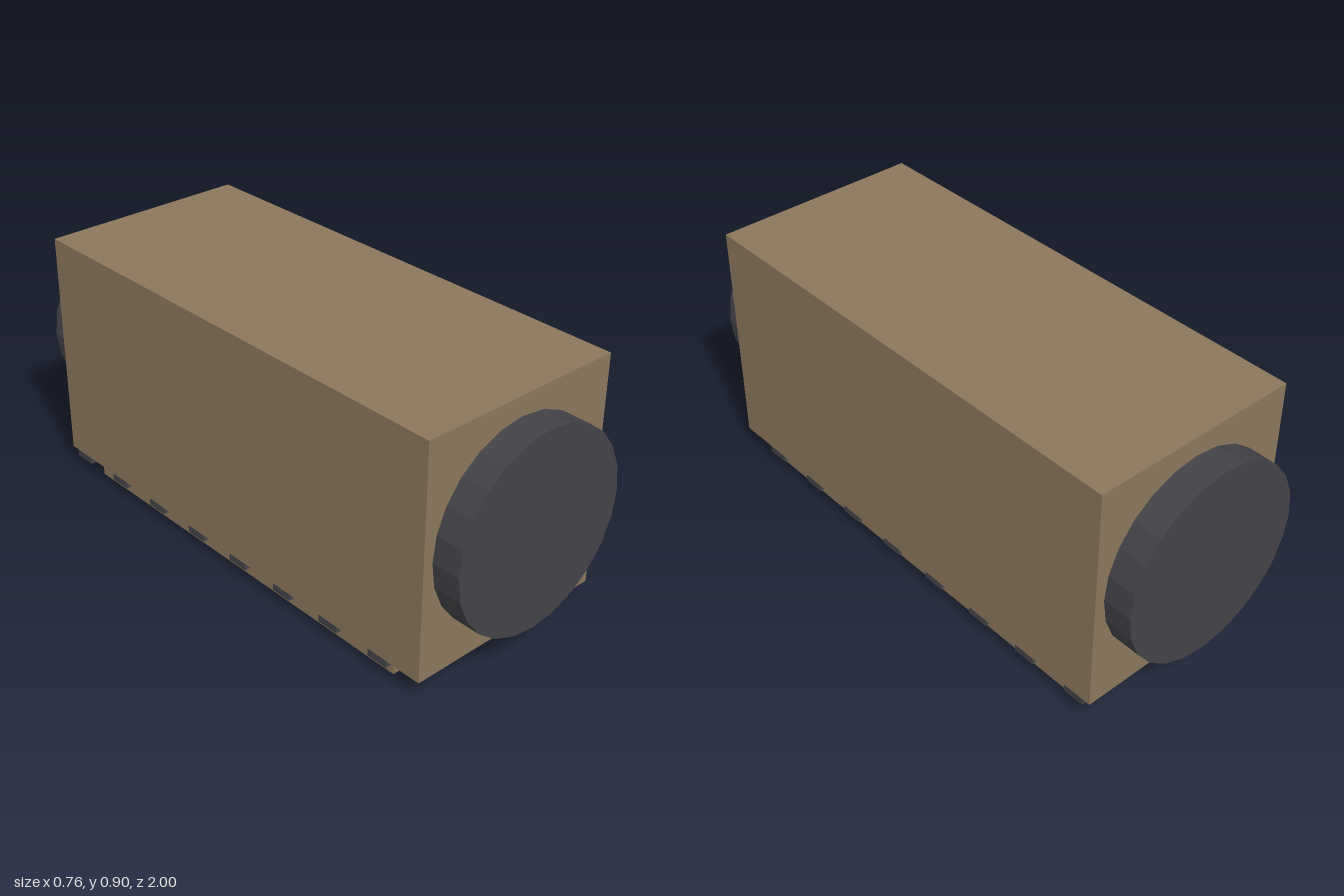
import * as THREE from 'three';

export function createModel() {
  const model = new THREE.Group();
  const tan = new THREE.MeshStandardMaterial({ color: 0x8b775c, flatShading: true });
  tan.name = 'tan casing';
  const dark = new THREE.MeshStandardMaterial({ color: 0x434247, flatShading: true });
  dark.name = 'dark grey';

  function add(name, geometry, material, x, y, z) {
    const mesh = new THREE.Mesh(geometry, material);
    mesh.name = name;
    mesh.position.set(x, y, z);
    model.add(mesh);
  }

  // Main casing and the plinth beneath it
  add('casing', new THREE.BoxGeometry(0.76, 0.828, 1.794), tan, 0, 0.484, 0.001);
  add('plinth', new THREE.BoxGeometry(0.69, 0.08, 1.516), tan, 0, 0.04, 0.002);

  // Round caps projecting from both ends
  for (const [name, side] of [['frontCap', 1], ['backCap', -1]]) {
    const cap = new THREE.CylinderGeometry(0.345, 0.345, 0.12, 24).rotateX(Math.PI / 2);
    add(name, cap, dark, 0, 0.484, side * 0.94);
  }

  // Cross slats under the casing, the last one behind the plinth
  for (let i = 0; i < 8; i++) {
    const slat = new THREE.BoxGeometry(0.758, 0.047, 0.08);
    add(`slat${i + 1}`, slat, dark, 0, 0.0665, 0.72 - i * 0.2207);
  }
  return model;
}
